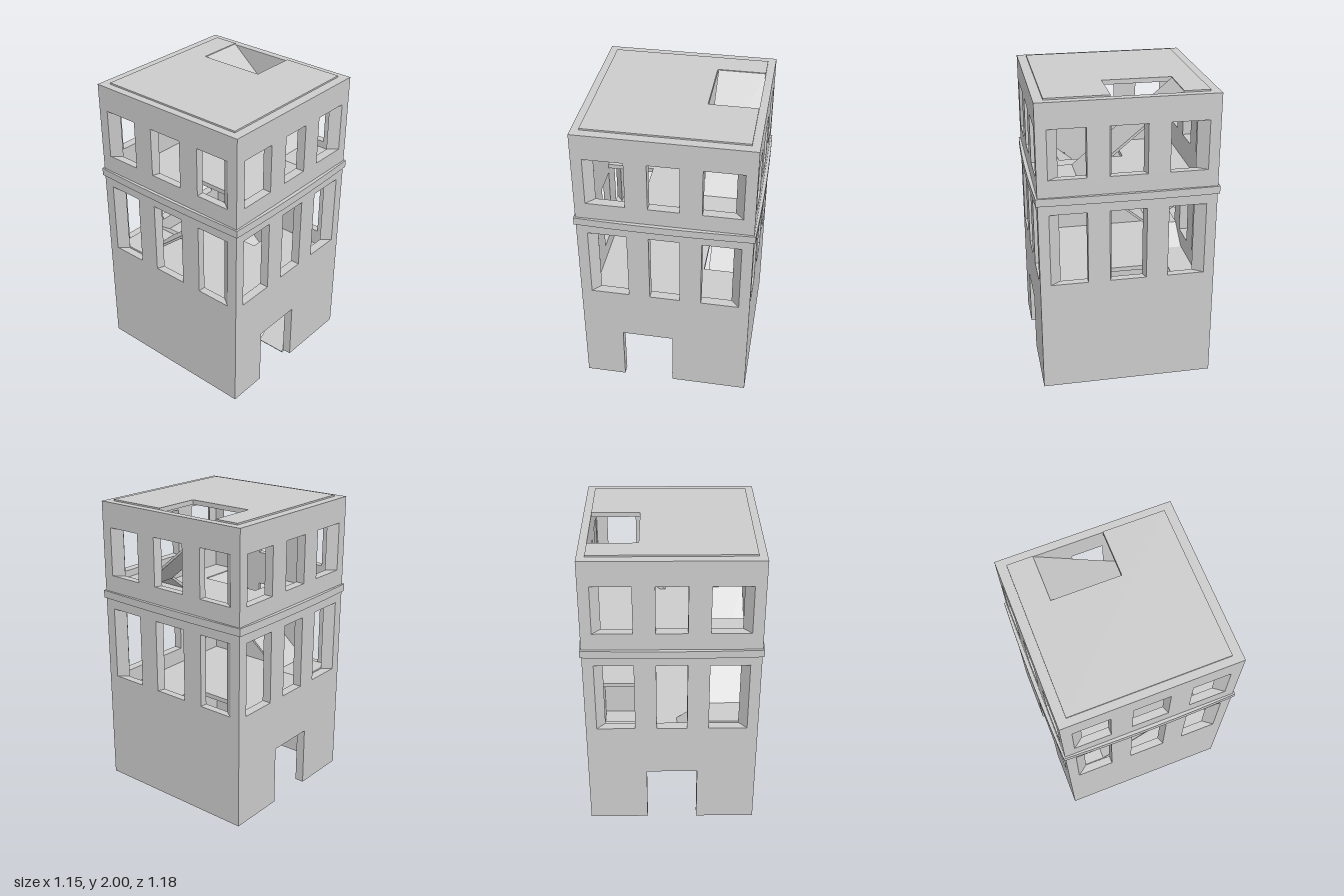
import * as THREE from 'three';

const material = new THREE.MeshStandardMaterial({ color: 0xcccccc, flatShading: true });
const STOREY = 0.66;

function polygon(points) {
  return new THREE.Shape(points.map(([x, y]) => new THREE.Vector2(x, y)));
}

function extrude(shape, depth) {
  return new THREE.ExtrudeGeometry(shape, { depth, bevelEnabled: false, curveSegments: 6 });
}

function addMesh(parent, name, geometry) {
  const mesh = new THREE.Mesh(geometry, material);
  mesh.name = name;
  parent.add(mesh);
  return mesh;
}

// Wall with two rows of three windows and an optional door; its inner face is at z = 0.
// "splay" pairs give an outer |x| and the matching |x| on the inner face.
function wallGeometry(half, depth, columns, splay, door) {
  const outline = [[-half, 0.03]];
  if (door) outline.push([door[0], 0.03], [door[0], 0.43], [door[1], 0.43], [door[1], 0.03]);
  outline.push([half, 0.03], [half, 1.99], [-half, 1.99]);
  const shape = polygon(outline);
  for (const [y0, y1] of [[0.79, 1.275], [1.505, 1.825]]) {
    for (const [x0, x1] of columns) {
      shape.holes.push(polygon([[x0, y0], [x0, y1], [x1, y1], [x1, y0]]));
    }
  }
  const geometry = extrude(shape, depth);
  const pos = geometry.attributes.position;
  for (let i = 0; i < pos.count; i++) {
    if (pos.getZ(i) > 0.001) continue;
    const x = pos.getX(i), y = pos.getY(i);
    if (door && y < 0.5 && Math.abs(x) < half - 0.01) continue;
    const pair = splay.find(([outer]) => Math.abs(Math.abs(x) - outer) < 0.001);
    if (pair) pos.setX(i, Math.sign(x) * pair[1]);
  }
  geometry.computeVertexNormals();
  return geometry;
}

// Floor slab with a stairwell notch along its +x edge
function slabGeometry() {
  const e = 0.505;
  const shape = polygon([
    [-e, -e], [e, -e], [e, -0.105], [0.195, -0.105], [0.195, 0.34], [e, 0.34], [e, e], [-e, e],
  ]);
  return extrude(shape, 0.03).rotateX(-Math.PI / 2);
}

// Short flight, corner landing and long flight as thin sloping slabs
function createStair() {
  const stair = new THREE.Group();
  stair.name = 'stair';
  const lower = polygon([[0.035, 0.02], [0.05, 0], [0.2, 0.122], [0.2, 0.14]]);
  addMesh(stair, 'lowerFlight', extrude(lower, 0.2).translate(0, 0, 0.303));

  addMesh(stair, 'landing', new THREE.BoxGeometry(0.303, 0.018, 0.203).translate(0.3515, 0.131, 0.4035));

  const upper = polygon([[-0.302, 0.12], [0.34, 0.655], [0.34, 0.675], [-0.302, 0.14]]);
  addMesh(stair, 'upperFlight', extrude(upper, 0.303).rotateY(Math.PI / 2).translate(0.2, 0, 0));
  return stair;
}

export function createModel() {
  const model = new THREE.Group();
  model.name = 'tower';

  // Outer walls
  const frontColumns = [[-0.485, -0.237], [-0.098, 0.098], [0.237, 0.485]];
  const frontSplay = [[0.555, 0.505], [0.485, 0.432]];
  const sideColumns = [[-0.497, -0.258], [-0.118, 0.118], [0.258, 0.497]];
  const sideSplay = [[0.565, 0.505], [0.497, 0.43], [0.118, 0.1]];
  const walls = [
    ['frontWall', 0, wallGeometry(0.555, 0.06, frontColumns, frontSplay, [-0.29, 0.05])],
    ['backWall', Math.PI, wallGeometry(0.555, 0.06, frontColumns, frontSplay, [-0.167, 0.167])],
    ['leftWall', Math.PI / 2, wallGeometry(0.565, 0.05, sideColumns, sideSplay)],
    ['rightWall', -Math.PI / 2, wallGeometry(0.565, 0.05, sideColumns, sideSplay)],
  ];
  for (const [name, angle, geometry] of walls) {
    addMesh(model, name, geometry.translate(0, 0, 0.505).rotateY(angle));
  }

  // Floors and stairs, turned half round on every other storey
  for (let i = 0; i < 3; i++) {
    const slab = addMesh(model, i < 2 ? 'floor' : 'roof', slabGeometry());
    slab.position.y = 0.65 + i * STOREY;
    slab.rotation.y = i * Math.PI;
    const stair = createStair();
    stair.position.y = i * STOREY;
    stair.rotation.y = i * Math.PI;
    model.add(stair);
  }

  // Gently bowed band around the outside
  const band = new THREE.Shape();
  band.moveTo(-0.565, -0.577);
  band.quadraticCurveTo(0, -0.603, 0.565, -0.577);
  band.quadraticCurveTo(0.588, 0, 0.565, 0.577);
  band.quadraticCurveTo(0, 0.603, -0.565, 0.577);
  band.quadraticCurveTo(-0.588, 0, -0.565, -0.577);
  band.holes.push(polygon([[-0.55, -0.56], [-0.55, 0.56], [0.55, 0.56], [0.55, -0.56]]));
  addMesh(model, 'band', extrude(band, 0.05).rotateX(-Math.PI / 2).translate(0, 1.342, 0));

  return model;
}
